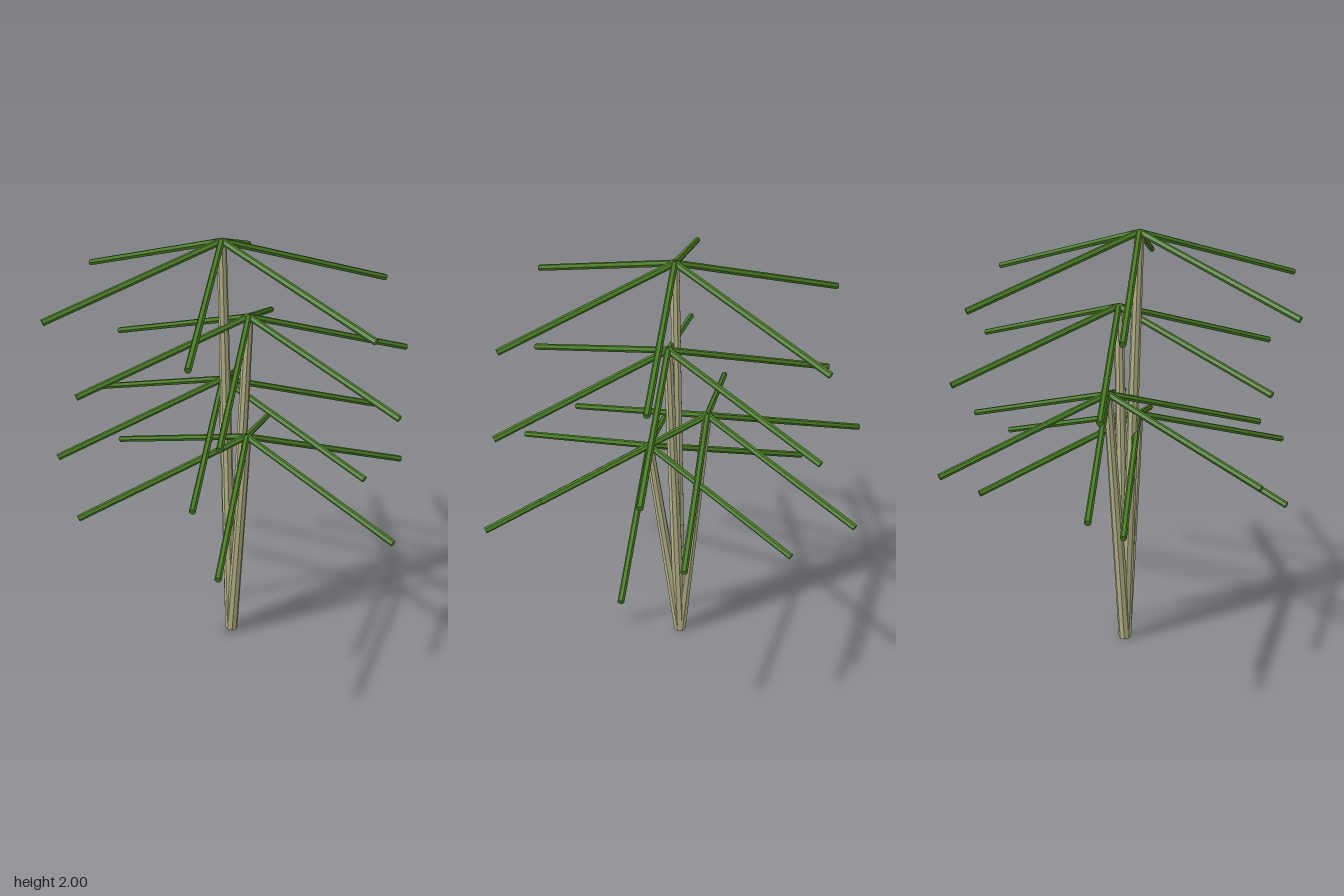
import * as THREE from 'three';

const stemMat = new THREE.MeshStandardMaterial({ color: 0xb5b288, flatShading: true });
stemMat.name = 'pale bark';
const frondMat = new THREE.MeshStandardMaterial({ color: 0x4a7c24, flatShading: true });
frondMat.name = 'leaf green';

// Straight rod from a to b with its own end radii
function rod(name, a, b, r0, r1, sides, mat) {
  const dir = new THREE.Vector3().subVectors(b, a);
  const mesh = new THREE.Mesh(new THREE.CylinderGeometry(r1, r0, dir.length(), sides), mat);
  mesh.position.addVectors(a, b).multiplyScalar(0.5);
  mesh.quaternion.setFromUnitVectors(new THREE.Vector3(0, 1, 0), dir.normalize());
  mesh.name = name;
  return mesh;
}

export function createModel() {
  const model = new THREE.Group();
  model.name = 'palmClump';
  const base = new THREE.Vector3(-0.015, 0.002, 0);
  const tips = [
    [-0.015, 1.985, 0.062],
    [0.056, 1.636, -0.035],
    [-0.117, 1.284, -0.067],
    [0.116, 1.108, 0.052],
  ];
  const reach = 0.785, drop = 0.257;

  for (const t of tips) {
    const tip = new THREE.Vector3(...t);
    const palm = new THREE.Group();
    palm.name = 'palm';
    // Tapered stem leaning out from the shared base
    palm.add(rod('stem', base, tip, 0.03, 0.021, 8, stemMat));
    // Crown of six drooping fronds
    for (let i = 0; i < 6; i++) {
      const a = (i * Math.PI) / 3;
      const end = new THREE.Vector3(Math.cos(a) * reach, -drop, Math.sin(a) * reach).add(tip);
      palm.add(rod('frond', tip, end, 0.0145, 0.0145, 6, frondMat));
    }
    model.add(palm);
  }
  return model;
}
